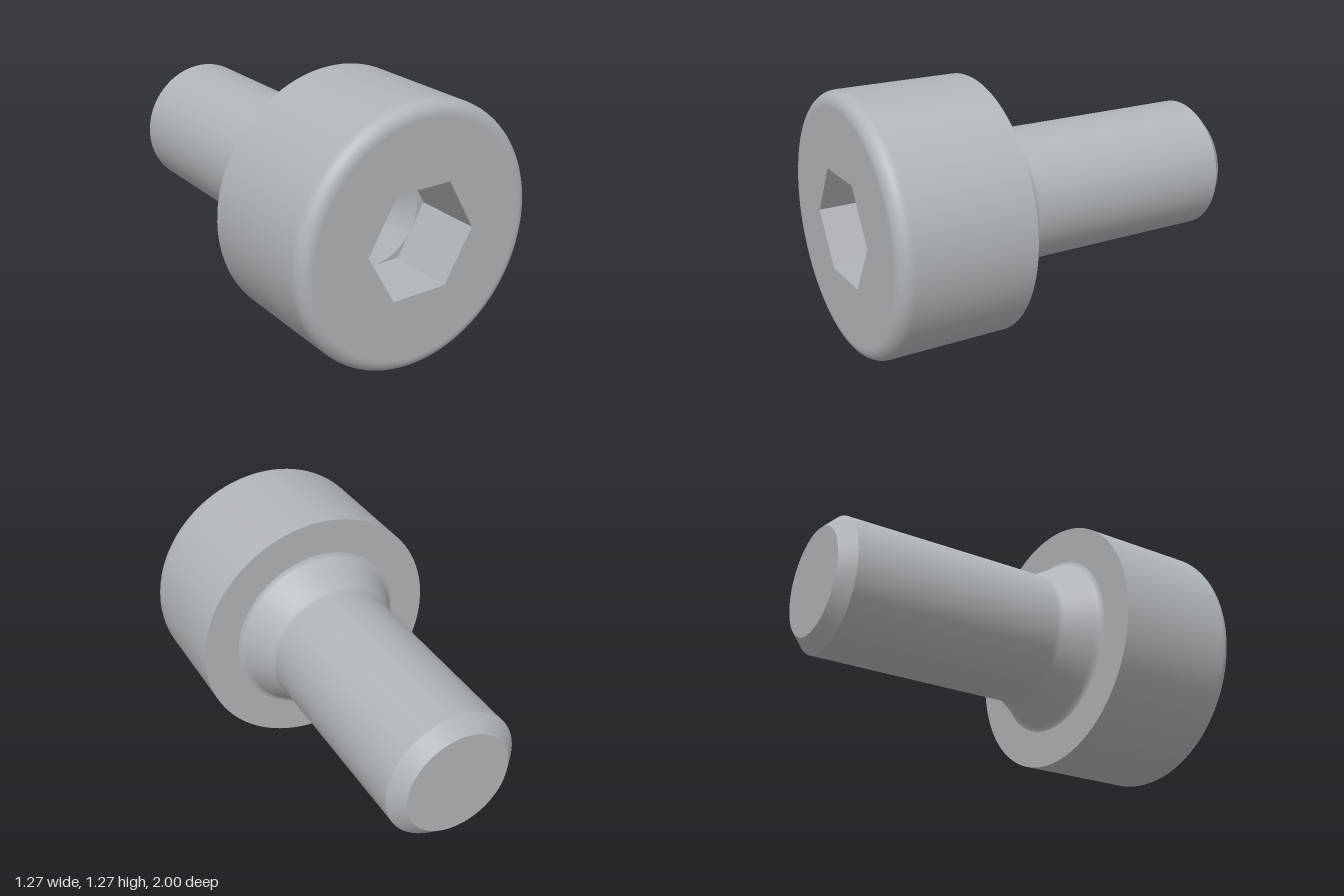
import * as THREE from 'three';

const R = 0.633;        // head radius
const ROUND = 0.067;    // rim rounding
const HEX = 0.25;       // half the socket width across flats
const CORNER = HEX / Math.cos(Math.PI / 6);
const FLOOR = 0.667;    // z of the socket floor
const SEG = 96;

export function createModel() {
  const steel = new THREE.MeshStandardMaterial({ color: 0xb0b5b9 });
  steel.name = 'steel';
  const screw = new THREE.Group();
  screw.name = 'socketScrew';

  const add = (parent, name, geometry) => {
    const mesh = new THREE.Mesh(geometry, steel);
    mesh.name = name;
    parent.add(mesh);
    return mesh;
  };
  // Surface of revolution about z; profile is [radius, z], back to front for outward faces
  const turn = (parent, name, profile) => {
    const points = profile.map(([r, z]) => new THREE.Vector2(r, z));
    return add(parent, name, new THREE.LatheGeometry(points, SEG).rotateX(Math.PI / 2));
  };
  const group = (name) => {
    const g = new THREE.Group();
    g.name = name;
    g.position.y = R;
    screw.add(g);
    return g;
  };
  const hexagon = () => Array.from({ length: 6 }, (_, i) =>
    new THREE.Vector2(Math.cos(i * Math.PI / 3) * CORNER, Math.sin(i * Math.PI / 3) * CORNER));

  // Shank with chamfered tip
  const shank = group('shank');
  turn(shank, 'tipFace', [[0, -1], [0.265, -1]]);
  turn(shank, 'tipChamfer', [[0.265, -1], [0.333, -0.932]]);
  turn(shank, 'shankBody', [[0.333, -0.932], [0.333, 0.145]]);

  // Flared neck, softly blended at both ends
  turn(shank, 'neck', [[0.333, 0.145], [0.335, 0.157], [0.34, 0.167],
    [0.418, 0.305], [0.425, 0.317], [0.435, 0.328], [0.45, 0.333]]);

  // Cylindrical head with rounded front rim
  const head = group('head');
  turn(head, 'headUnderside', [[0.45, 0.333], [R, 0.333]]);
  const side = [[R, 0.333], [R, 0.9]];
  for (let i = 0; i <= 10; i++) {
    const a = i / 10 * Math.PI / 2;
    side.push([R - ROUND + ROUND * Math.cos(a), 1 - ROUND + ROUND * Math.sin(a)]);
  }
  turn(head, 'headSide', side);
  const face = new THREE.Shape().absarc(0, 0, R - ROUND, 0, Math.PI * 2);
  face.holes.push(new THREE.Path(hexagon()));
  add(head, 'headFace', new THREE.ShapeGeometry(face, SEG / 2).translate(0, 0, 1));

  // Hexagonal socket: inward walls, floor corners and drilled cone
  const socket = group('socket');
  const walls = new THREE.CylinderGeometry(CORNER, CORNER, 1 - FLOOR, 6, 1, true, Math.PI / 2)
    .rotateX(Math.PI / 2).translate(0, 0, (1 + FLOOR) / 2)
    .scale(-1, 1, 1).toNonIndexed();
  walls.computeVertexNormals();
  add(socket, 'socketWalls', walls);
  const floor = new THREE.Shape(hexagon());
  floor.holes.push(new THREE.Path().absarc(0, 0, HEX - 0.001, 0, Math.PI * 2, true));
  add(socket, 'socketFloor', new THREE.ShapeGeometry(floor, SEG / 2).translate(0, 0, FLOOR));
  turn(socket, 'socketCone', [[HEX - 0.001, FLOOR], [0, FLOOR - HEX * Math.tan(Math.PI / 6)]]);

  return screw;
}
